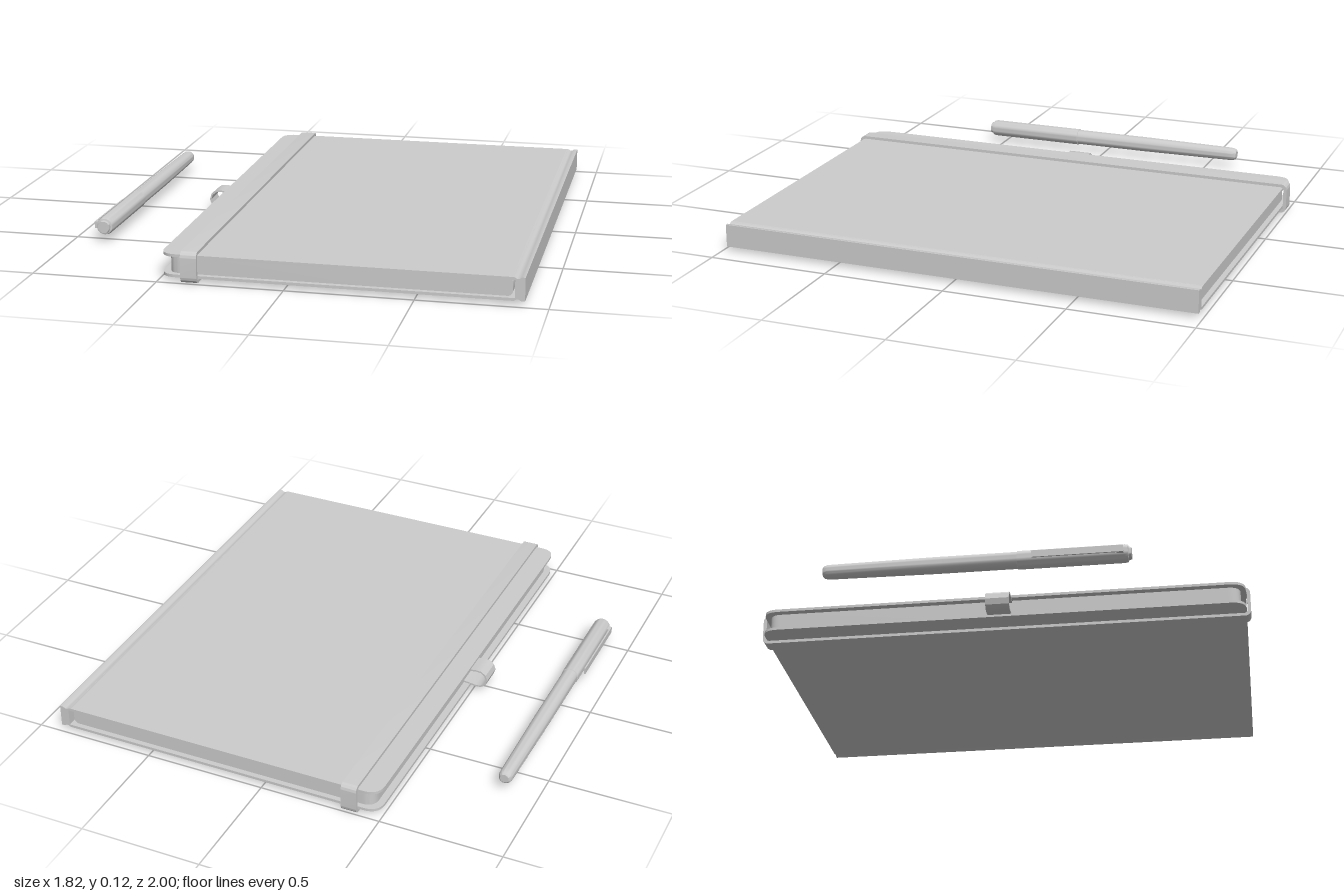
import * as THREE from 'three';
import { toCreasedNormals } from 'three/addons/utils/BufferGeometryUtils.js';

const material = new THREE.MeshStandardMaterial({ color: 0xcccccc });
const MID_Y = 0.064;

function addPart(parent, name, geometry) {
  const mesh = new THREE.Mesh(geometry, material);
  mesh.name = name;
  parent.add(mesh);
  return mesh;
}

function extrude(shape, depth) {
  const geometry = new THREE.ExtrudeGeometry(shape, { depth, bevelEnabled: false, curveSegments: 10 });
  return toCreasedNormals(geometry, 0.6);
}

// Flat slab lying in xz, rounded only at its two -x corners
function slab(x0, x1, halfZ, radius, y0, y1) {
  const s = new THREE.Shape();
  s.moveTo(x1, -halfZ);
  s.lineTo(x1, halfZ);
  s.lineTo(x0 + radius, halfZ);
  s.quadraticCurveTo(x0, halfZ, x0, halfZ - radius);
  s.lineTo(x0, -halfZ + radius);
  s.quadraticCurveTo(x0, -halfZ, x0 + radius, -halfZ);
  return extrude(s, y1 - y0).rotateX(-Math.PI / 2).translate(0, y0, 0);
}

// Rounded rectangle centred on the origin
function roundedRect(Target, w, h, r) {
  const p = new Target();
  p.absarc(w / 2 - r, h / 2 - r, r, 0, Math.PI / 2);
  p.absarc(-w / 2 + r, h / 2 - r, r, Math.PI / 2, Math.PI);
  p.absarc(-w / 2 + r, -h / 2 + r, r, Math.PI, Math.PI * 1.5);
  p.absarc(w / 2 - r, -h / 2 + r, r, Math.PI * 1.5, Math.PI * 2);
  p.closePath();
  return p;
}

function createNotebook() {
  const book = new THREE.Group();
  book.name = 'notebook';
  const halfZ = 0.983;

  // Cover boards
  addPart(book, 'topCover', slab(-0.49, 0.868, halfZ, 0.065, 0.099, 0.11));
  addPart(book, 'bottomCover', slab(-0.49, 0.868, halfZ, 0.065, 0.018, 0.029));

  // Spine with a shallow hinge groove above and below; upper half mirrored
  const upper = [[0.872, 0.035], [0.86, 0.035], [0.86, 0.046], [0.868, 0.046],
    [0.878, 0.04], [0.887, 0.04], [0.896, 0.046], [0.91, 0.046]];
  const outline = [...upper, ...upper.map(([x, y]) => [x, -y]).reverse()];
  const spine = new THREE.Shape(outline.map(([x, y]) => new THREE.Vector2(x, MID_Y + y)));
  addPart(book, 'spine', extrude(spine, halfZ * 2).translate(0, 0, -halfZ));

  // Page block with a rounded bound edge
  const pageZ = 0.962;
  addPart(book, 'pages', slab(-0.462, 0.84, pageZ, 0.05, 0.029, 0.099));
  const bound = roundedRect(THREE.Shape, 0.06, 0.07, 0.02);
  addPart(book, 'boundEdge', extrude(bound, pageZ * 2).translate(0.832, MID_Y, -pageZ));

  // Elastic closure band
  const band = roundedRect(THREE.Shape, 2, 0.125, 0.024);
  band.holes.push(roundedRect(THREE.Path, 1.972, 0.101, 0.014));
  addPart(book, 'elasticBand', extrude(band, 0.064).rotateY(Math.PI / 2).translate(-0.404, 0.0625, 0));

  // Pen loop: thin faceted strip fixed to the page edge
  const strip = (rx, ry, endY) => {
    const pts = [new THREE.Vector2(-0.455, MID_Y + endY)];
    for (let i = 0; i <= 6; i++) {
      const a = Math.PI * (0.42 + (1.16 * i) / 6);
      pts.push(new THREE.Vector2(-0.522 + rx * Math.cos(a), MID_Y + ry * Math.sin(a)));
    }
    pts.push(new THREE.Vector2(-0.455, MID_Y - endY));
    return pts;
  };
  const loop = new THREE.Shape([...strip(0.043, 0.041, 0.032), ...strip(0.036, 0.034, 0.025).reverse()]);
  addPart(book, 'penLoop', extrude(loop, 0.096).translate(0, 0, -0.051));
  return book;
}

function createPen() {
  const pen = new THREE.Group();
  pen.name = 'pen';
  pen.position.set(-0.865, 0.066, 0);

  // Lathe profiles as [radius, z]
  const turned = (name, profile) => {
    const pts = profile.map(([r, z]) => new THREE.Vector2(r, z));
    const geometry = toCreasedNormals(new THREE.LatheGeometry(pts, 32), 0.6);
    addPart(pen, name, geometry.rotateX(Math.PI / 2));
  };
  turned('penBarrel', [[0, -0.64], [0.018, -0.64], [0.024, -0.635], [0.028, -0.622],
    [0.029, -0.6], [0.033, -0.2], [0.033, 0.14]]);
  turned('penCap', [[0.032, 0.12], [0.036, 0.122], [0.036, 0.535], [0.033, 0.547],
    [0.026, 0.549], [0.024, 0.56], [0, 0.56]]);

  // Clip along the -x side of the cap, joined to it near the end
  const clip = new THREE.Shape([[0.032, 0.53], [0.048, 0.53], [0.048, 0.18], [0.042, 0.18],
    [0.042, 0.505], [0.032, 0.505]].map(([x, z]) => new THREE.Vector2(-x, -z)));
  addPart(pen, 'penClip', extrude(clip, 0.028).rotateX(-Math.PI / 2).translate(0, -0.014, 0));
  return pen;
}

export function createModel() {
  const model = new THREE.Group();
  model.name = 'notebookAndPen';
  model.add(createNotebook(), createPen());
  return model;
}
